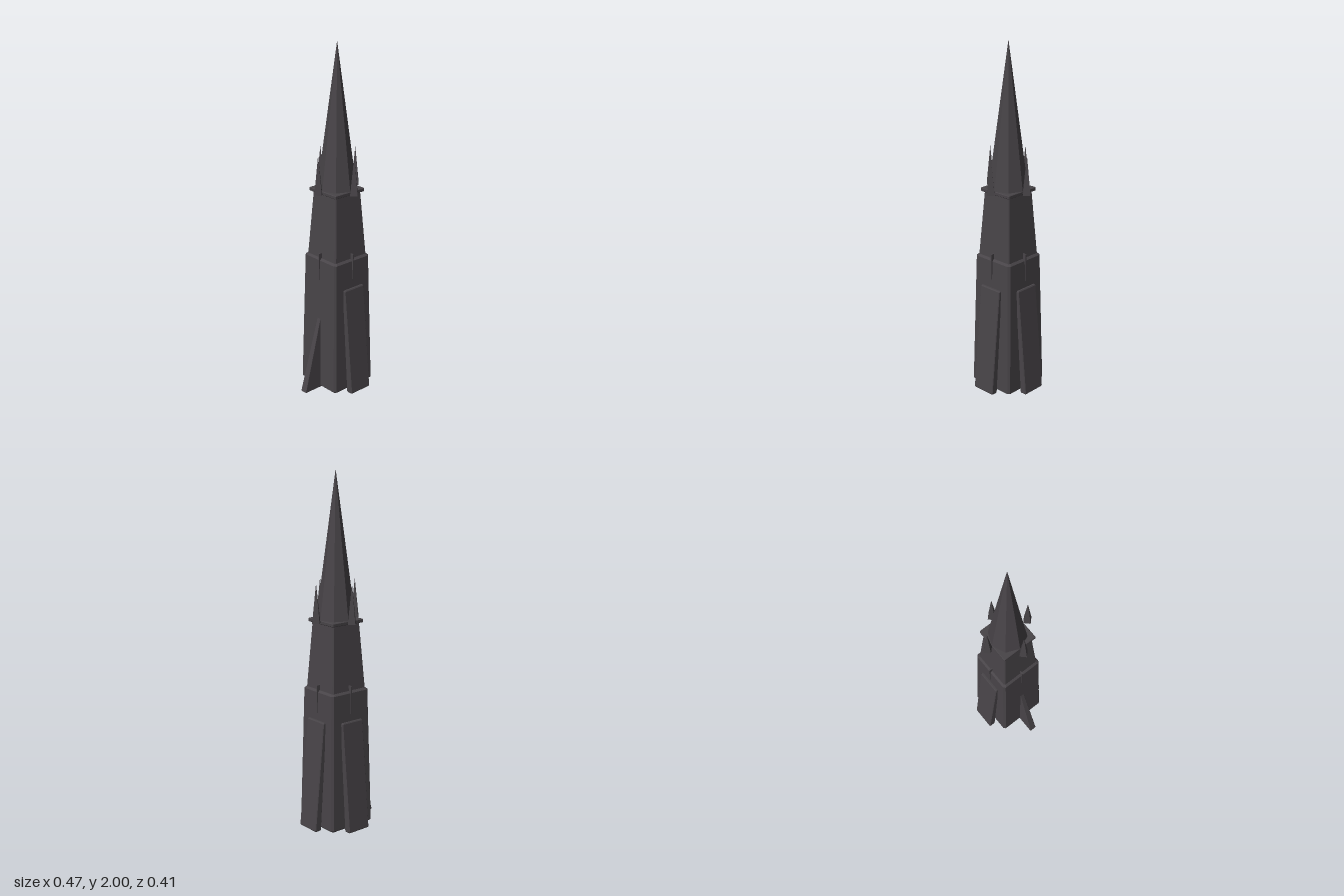
import * as THREE from 'three';

const stone = new THREE.MeshStandardMaterial({ color: 0x484448 });
stone.name = 'darkStone';

// Rectangular cross-section with clipped corners, counter-clockwise from above
function ring(y, hw, z0, z1, c) {
  return [
    [-hw + c, z1], [hw - c, z1], [hw, z1 - c], [hw, z0 + c],
    [hw - c, z0], [-hw + c, z0], [-hw, z0 + c], [-hw, z1 - c],
  ].map(([x, z]) => [x, y, z]);
}

// Faceted solid through a stack of cross-sections, bottom to top
function loft(rings) {
  const pos = [];
  const tri = (...p) => p.forEach((v) => pos.push(...v));
  const n = rings[0].length;
  for (let r = 0; r < rings.length - 1; r++) {
    const a = rings[r], b = rings[r + 1];
    for (let i = 0; i < n; i++) {
      const j = (i + 1) % n;
      tri(a[i], a[j], b[j]);
      tri(a[i], b[j], b[i]);
    }
  }
  const lo = rings[0], hi = rings[rings.length - 1];
  for (let i = 1; i < n - 1; i++) {
    tri(lo[0], lo[i + 1], lo[i]);
    tri(hi[0], hi[i], hi[i + 1]);
  }
  const g = new THREE.BufferGeometry();
  g.setAttribute('position', new THREE.Float32BufferAttribute(pos, 3));
  g.computeVertexNormals();
  return g;
}

// Tapered square block with bevelled top and bottom edges
function block(y0, y1, h0, h1, b) {
  const sq = (y, h) => ring(y, h, -h, h, b);
  return loft([sq(y0, h0 - b), sq(y0 + b, h0), sq(y1 - b, h1), sq(y1, h1 - b)]);
}

function spike(radius, height, sides, y) {
  const g = new THREE.ConeGeometry(radius, height, sides).toNonIndexed();
  g.computeVertexNormals();
  g.translate(0, y + height / 2, 0);
  return g;
}

export function createModel() {
  const tower = new THREE.Group();
  tower.name = 'tower';
  tower.position.x = 0.025;

  function add(name, geometry, angle = 0) {
    const m = new THREE.Mesh(geometry, stone);
    m.name = name;
    m.rotation.y = angle;
    tower.add(m);
  }

  // Stacked body and spire
  add('lowerTier', block(0, 0.8, 0.148, 0.13, 0.011));
  add('upperTier', block(0.78, 1.18, 0.118, 0.093, 0.006));
  add('ledge', block(1.17, 1.19, 0.108, 0.108, 0.003));
  add('spire', spike(0.108, 0.81, 8, 1.19));

  // Pinnacle and thin rib on every side
  const pinnacle = spike(0.029, 0.22, 4, 1.18).translate(0, 0, 0.137);
  const rib = new THREE.BoxGeometry(0.007, 0.16, 0.03).translate(0, 0.75, 0.121);
  for (let i = 0; i < 4; i++) {
    add('pinnacle', pinnacle, i * Math.PI / 2);
    add('rib', rib, i * Math.PI / 2);
  }

  // Leaning slab buttresses on the front, left and back
  const slab = loft([
    ring(0, 0.069, 0.169, 0.204, 0.004),
    ring(0.005, 0.072, 0.166, 0.207, 0.004),
    ring(0.624, 0.072, 0.125, 0.147, 0.004),
    ring(0.63, 0.069, 0.125, 0.143, 0.004),
  ]);
  for (const i of [0, 1, 2]) add('slabButtress', slab, i * Math.PI / 2);

  // Wedge-shaped buttress on the right
  add('wedgeButtress', loft([
    ring(0, 0.021, 0.1, 0.259, 0.002),
    ring(0.47, 0.012, 0.1, 0.128, 0.002),
  ]), -Math.PI / 2);

  const model = new THREE.Group();
  model.name = 'spiredTower';
  model.add(tower);
  return model;
}
